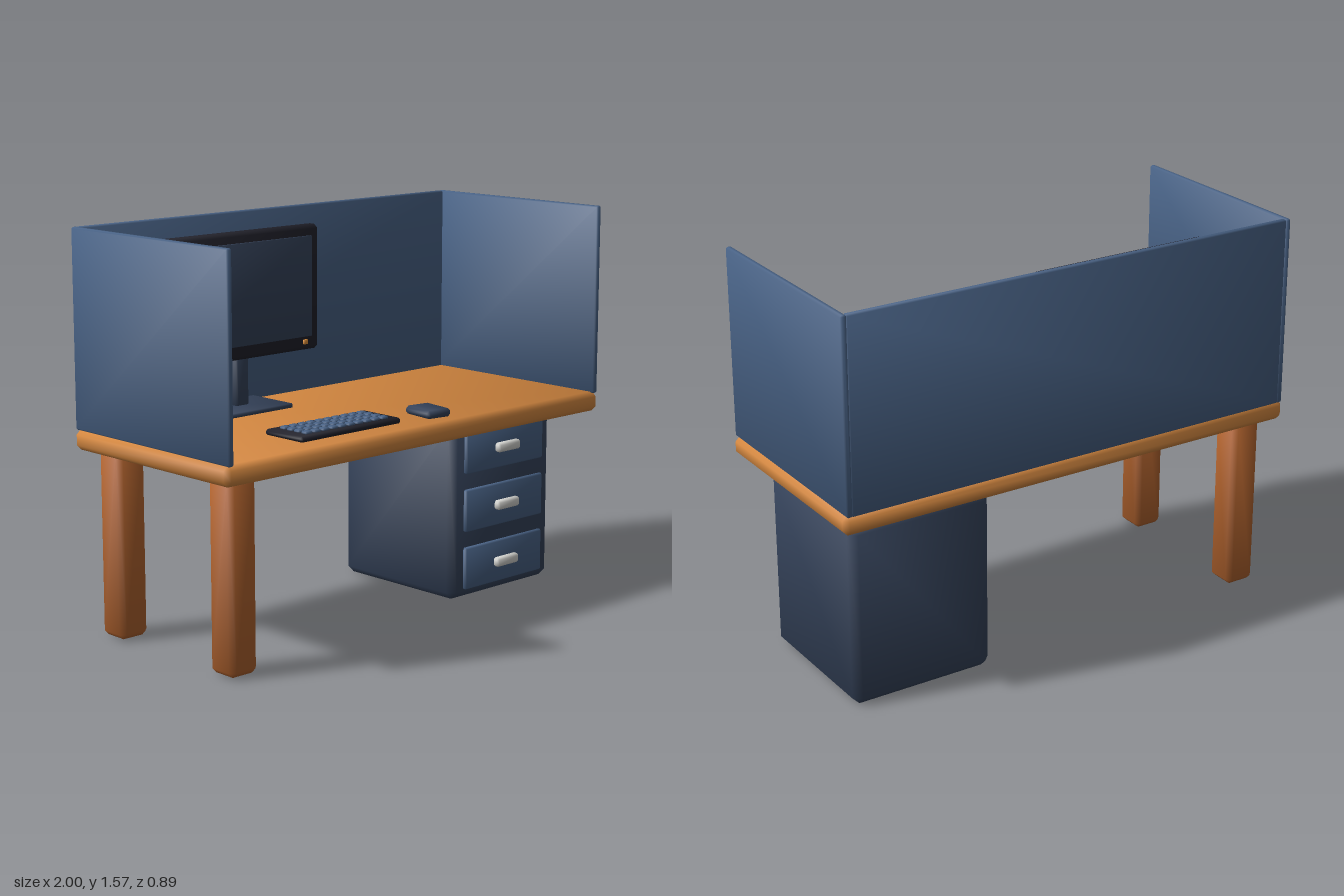
import * as THREE from 'three';

const mat = (name, color) => {
  const m = new THREE.MeshStandardMaterial({ color });
  m.name = name;
  return m;
};

// Box with one-step chamfers and soft normals, centred on its origin
function chamferBox(w, h, d, c) {
  const half = [w / 2, h / 2, d / 2];
  const pos = [], nor = [], idx = [];
  const id = (axis, s) => axis * 8 + (s[0] > 0 ? 4 : 0) + (s[1] > 0 ? 2 : 0) + (s[2] > 0 ? 1 : 0);
  const S = [-1, 1];
  for (let axis = 0; axis < 3; axis++)
    for (const x of S) for (const y of S) for (const z of S) {
      const s = [x, y, z];
      const n = new THREE.Vector3(...s.map((v, i) => (i === axis ? v : v * 0.39))).normalize();
      pos.push(...s.map((v, i) => v * (i === axis ? half[i] : half[i] - c)));
      nor.push(n.x, n.y, n.z);
    }
  const at = (i) => new THREE.Vector3().fromArray(pos, i * 3);
  // add a triangle, turned to face outward
  const tri = (a, b, e) => {
    const A = at(a), B = at(b), E = at(e);
    const n = B.clone().sub(A).cross(E.clone().sub(A));
    if (n.dot(A.add(B).add(E)) > 0) idx.push(a, b, e);
    else idx.push(a, e, b);
  };
  const quad = (a, b, e, f) => { tri(a, b, e); tri(a, e, f); };
  const signs = (i, si, j, sj, k, sk) => {
    const s = [0, 0, 0];
    s[i] = si; s[j] = sj; s[k] = sk;
    return s;
  };
  for (let i = 0; i < 3; i++) {
    const j = (i + 1) % 3, k = (i + 2) % 3;
    for (const si of S) {
      // flat side
      const f = (sj, sk) => id(i, signs(i, si, j, sj, k, sk));
      quad(f(-1, -1), f(1, -1), f(1, 1), f(-1, 1));
      // edge strips between sides i and j
      for (const sj of S) {
        const e = (axis, sk) => id(axis, signs(i, si, j, sj, k, sk));
        quad(e(i, -1), e(i, 1), e(j, 1), e(j, -1));
      }
    }
  }
  // corners
  for (const x of S) for (const y of S) for (const z of S) {
    const s = [x, y, z];
    tri(id(0, s), id(1, s), id(2, s));
  }
  const g = new THREE.BufferGeometry();
  g.setAttribute('position', new THREE.Float32BufferAttribute(pos, 3));
  g.setAttribute('normal', new THREE.Float32BufferAttribute(nor, 3));
  g.setIndex(idx);
  return g;
}

export function createModel() {
  const root = new THREE.Group();
  root.name = 'officeDesk';

  const wood = mat('deskWood', 0xd98b42);
  const legWood = mat('legWood', 0xb5652f);
  const blue = mat('panelBlue', 0x4a6488);
  const navy = mat('cabinetNavy', 0x36445c);
  const black = mat('casingBlack', 0x21212b);
  const silver = mat('handleSilver', 0xd6d6d2);
  const amber = mat('buttonAmber', 0xe8963c);

  // part given by its limits along x, y and z
  const part = (name, material, [x0, x1], [y0, y1], [z0, z1], c, parent = root) => {
    const m = new THREE.Mesh(chamferBox(x1 - x0, y1 - y0, z1 - z0, c), material);
    m.name = name;
    m.position.set((x0 + x1) / 2, (y0 + y1) / 2, (z0 + z1) / 2);
    parent.add(m);
    return m;
  };
  const group = (name) => {
    const g = new THREE.Group();
    g.name = name;
    root.add(g);
    return g;
  };

  // desk top and legs
  part('deskTop', wood, [-1, 1], [0.73, 0.81], [-0.443, 0.443], 0.02);
  part('frontLeg', legWood, [-0.935, -0.805], [0.005, 0.735], [0.253, 0.383], 0.02);
  part('backLeg', legWood, [-0.935, -0.805], [0.005, 0.735], [-0.383, -0.253], 0.02);

  // privacy panels
  part('backPanel', blue, [-0.97, 0.97], [0.805, 1.57], [-0.443, -0.418], 0.006);
  part('rightPanel', blue, [-0.99, -0.965], [0.805, 1.57], [-0.443, 0.443], 0.006);
  part('leftPanel', blue, [0.965, 0.99], [0.805, 1.57], [-0.443, 0.443], 0.006);

  // drawer cabinet
  const cabinet = group('cabinet');
  part('cabinetBody', navy, [0.36, 0.955], [0, 0.735], [-0.4, 0.23], 0.03, cabinet);
  for (const y of [0.125, 0.365, 0.605]) {
    part('drawerFront', blue, [0.428, 0.887], [y - 0.087, y + 0.087], [0.222, 0.245], 0.006, cabinet);
    part('drawerHandle', silver, [0.593, 0.722], [y - 0.019, y + 0.019], [0.24, 0.272], 0.008, cabinet);
  }

  // monitor
  const monitor = group('monitor');
  part('monitorBase', navy, [-0.455, -0.13], [0.808, 0.827], [-0.41, -0.17], 0.005, monitor);
  part('monitorNeck', navy, [-0.33, -0.263], [0.82, 1.1], [-0.34, -0.28], 0.008, monitor);
  part('monitorCasing', black, [-0.685, 0.097], [1.01, 1.51], [-0.318, -0.262], 0.015, monitor);
  part('screen', navy, [-0.638, 0.052], [1.065, 1.468], [-0.264, -0.256], 0.002, monitor);
  part('powerButton', amber, [0.007, 0.029], [1.034, 1.054], [-0.264, -0.256], 0.002, monitor);

  // keyboard
  const keyboard = group('keyboard');
  part('keyboardBody', black, [-0.55, -0.037], [0.808, 0.832], [0.133, 0.337], 0.008, keyboard);
  const keyGeo = chamferBox(0.035, 0.014, 0.031, 0.005);
  for (let r = 0; r < 4; r++)
    for (let i = 0; i < 10; i++) {
      const key = new THREE.Mesh(keyGeo, blue);
      key.name = 'key';
      key.position.set(-0.489 + i * 0.0435, 0.835, 0.18 + r * 0.039);
      keyboard.add(key);
    }

  // mouse
  const mouse = part('mouse', navy, [0.093, 0.207], [0.808, 0.842], [0.22, 0.372], 0.011);
  mouse.rotation.y = -0.14;

  return root;
}
